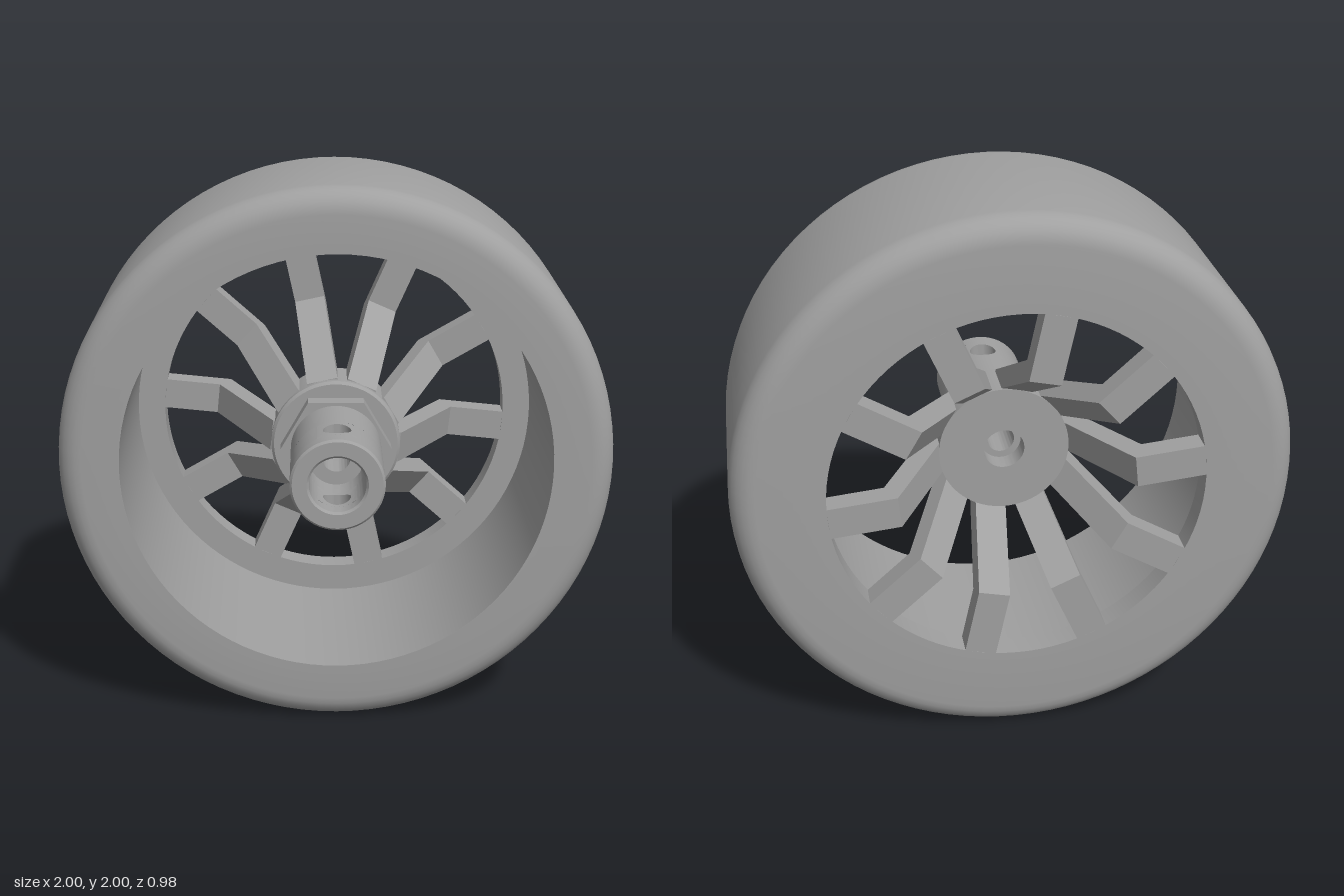
import * as THREE from 'three';
import { toCreasedNormals } from 'three/addons/utils/BufferGeometryUtils.js';

const grey = new THREE.MeshStandardMaterial({ color: 0xa0a0a0 });
grey.name = 'plain grey';

// Everything is modelled around the local y axis, which becomes the wheel's z axis.
const TUBE_R = 0.167, BORE_R = 0.1, PIN_R = 0.05, PIN_Y = 0.36, PATCH = 0.07;

export function createModel() {
  const model = new THREE.Group();
  model.name = 'wheel';
  const axle = new THREE.Group();
  axle.name = 'wheelAxis';
  axle.rotation.x = Math.PI / 2;
  axle.position.y = 1;
  model.add(axle);

  const add = (name, geometry, parent = axle) => {
    const mesh = new THREE.Mesh(geometry, grey);
    mesh.name = name;
    parent.add(mesh);
    return mesh;
  };
  // Profile points are [radius, height]
  const lathe = (points, segments = 72, start = 0, length = Math.PI * 2) =>
    toCreasedNormals(new THREE.LatheGeometry(
      points.map(([r, y]) => new THREE.Vector2(r, y)), segments, start, length), 0.5);
  const fillet = (cx, cy, r, from) => Array.from({ length: 7 }, (_, i) => {
    const a = from + (i / 6) * Math.PI / 2;
    return [cx + r * Math.cos(a), cy + r * Math.sin(a)];
  });

  // Wide tyre with rounded shoulders and the flange that carries the spokes
  add('tyreAndRim', lathe([
    [0.67, -0.49],
    ...fillet(0.91, -0.40, 0.09, -Math.PI / 2),
    ...fillet(0.91, 0.22, 0.09, 0),
    [0.775, 0.31], [0.775, -0.40], [0.67, -0.40], [0.67, -0.49],
  ], 96));

  // Ten bent spokes: flat at the rim, rising steeply to the hub
  const side = new THREE.Shape([
    [0.2, -0.087], [0.24, -0.16], [0.42, -0.49], [0.669, -0.49],
    [0.669, -0.40], [0.46, -0.40], [0.24, 0.0], [0.2, 0.0],
  ].map(([r, y]) => new THREE.Vector2(r, y)));
  const spoke = new THREE.ExtrudeGeometry(side, { depth: 0.115, bevelEnabled: false });
  spoke.translate(0, 0, -0.0575);
  const spokes = new THREE.Group();
  spokes.name = 'spokes';
  axle.add(spokes);
  for (let i = 0; i < 10; i++) {
    add('spoke', spoke, spokes).rotation.y = -THREE.MathUtils.degToRad(6 + 36 * i);
  }

  // Hub, lower part of the axle tube and the stepped bore
  const low = PIN_Y - PATCH, high = PIN_Y + PATCH;
  add('hub', lathe([
    [0.075, -0.16], [0.24, -0.16], [0.24, 0.02], [0.23, 0.03], [TUBE_R, 0.03], [TUBE_R, low],
  ]));
  add('bore', lathe([
    [BORE_R, low], [BORE_R, 0.2], [0.05, 0.2], [0.05, -0.08], [0.075, -0.08], [0.075, -0.16],
  ]));
  add('tubeEnd', lathe([
    [TUBE_R, high], [TUBE_R, 0.482], [0.159, 0.49], [0.108, 0.49], [BORE_R, 0.482], [BORE_R, high],
  ]));

  // Middle of the tube, between and around the two cross holes
  const pinHole = pinHoleGeometry();
  for (const turn of [0, Math.PI]) {
    const arc = (name, r, from, to) => {
      const a = Math.asin(PATCH / r);
      add(name, lathe([[r, from], [r, to]], 24, turn + a, Math.PI - 2 * a));
    };
    arc('tubeWall', TUBE_R, low, high);
    arc('tubeInnerWall', BORE_R, high, low);
    add('pinHole', pinHole).rotation.y = turn;
  }

  // Hexagonal nut in front of the hub
  const hex = new THREE.Shape(Array.from({ length: 6 }, (_, i) =>
    new THREE.Vector2(0.205 * Math.cos(i * Math.PI / 3), 0.205 * Math.sin(i * Math.PI / 3))));
  hex.holes.push(new THREE.Path().absarc(0, 0, 0.16, 0, Math.PI * 2, true));
  const nut = new THREE.ExtrudeGeometry(hex, { depth: 0.065, bevelEnabled: false });
  nut.rotateX(-Math.PI / 2);
  nut.translate(0, 0.028, 0);
  add('hexNut', nut);

  return model;
}

// Curved square panel with a round hole: outer skin, hole wall and inner skin in one sweep
function pinHoleGeometry() {
  const N = 32, S = 4, rows = [];
  for (let j = 0; j <= S; j++) rows.push([TUBE_R, j / S]);
  for (let j = S; j >= 0; j--) rows.push([BORE_R, j / S]);
  const positions = [], index = [];
  rows.forEach(([radius, t], j) => {
    for (let i = 0; i <= N; i++) {
      const a = (i / N) * Math.PI * 2, c = Math.cos(a), s = Math.sin(a);
      const square = PATCH / Math.max(Math.abs(c), Math.abs(s));
      const d = square + (PIN_R - square) * t;
      positions.push(d * c, PIN_Y + d * s, Math.sqrt(radius * radius - d * c * d * c));
      if (j < rows.length - 1 && i < N) {
        const p = j * (N + 1) + i, q = p + N + 1;
        index.push(p, p + 1, q, p + 1, q + 1, q);
      }
    }
  });
  const geometry = new THREE.BufferGeometry();
  geometry.setAttribute('position', new THREE.Float32BufferAttribute(positions, 3));
  geometry.setIndex(index);
  return toCreasedNormals(geometry, 0.5);
}
